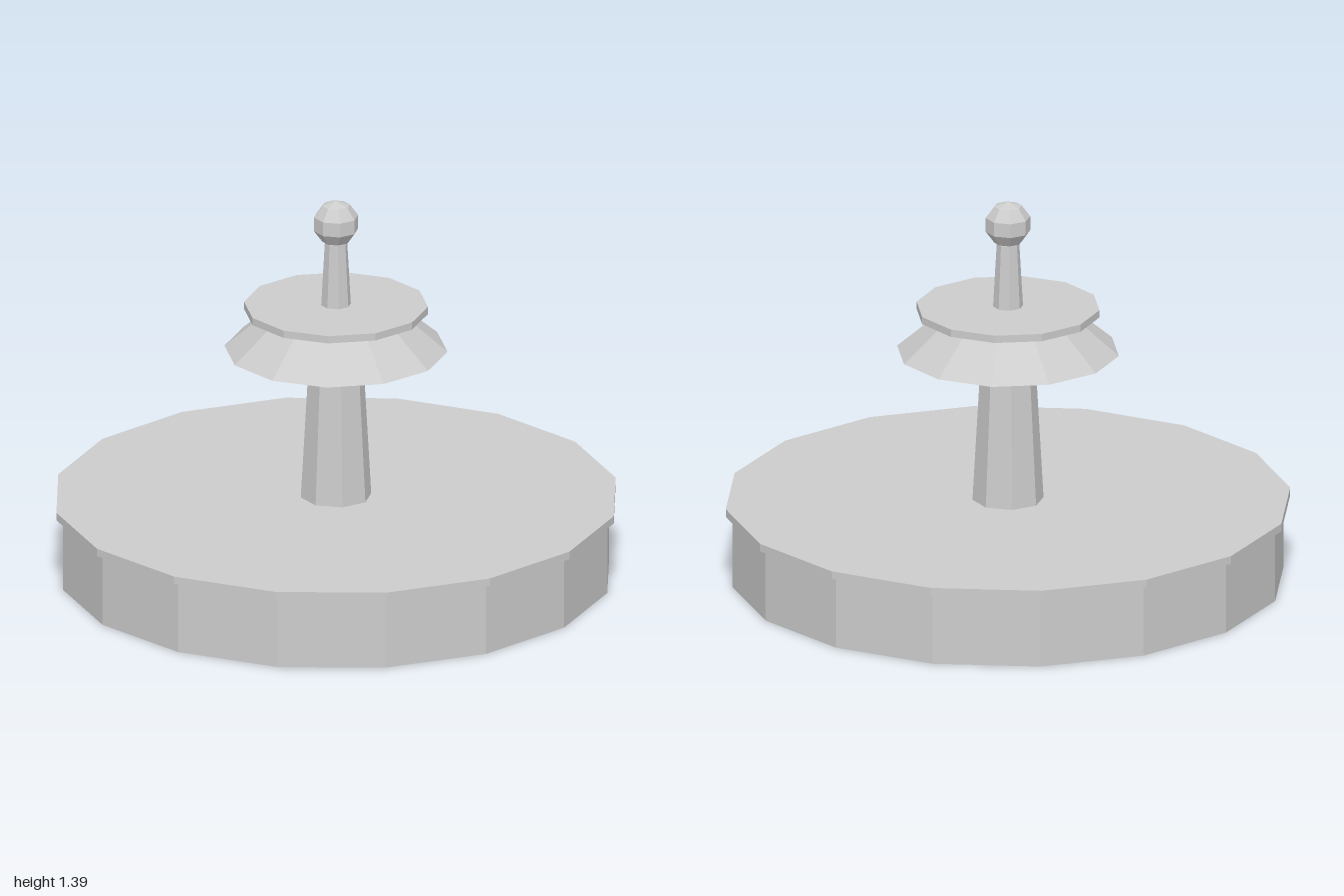
import * as THREE from 'three';

export function createModel() {
  const group = new THREE.Group();
  group.name = 'fountain';
  const stone = new THREE.MeshStandardMaterial({ color: 0xcccccc, flatShading: true });
  stone.name = 'grey stone';

  const add = (name, geometry, y) => {
    const mesh = new THREE.Mesh(geometry, stone);
    mesh.name = name;
    mesh.position.y = y;
    group.add(mesh);
  };

  // Faceted tapered drum from y0 to y1
  const drum = (name, rBottom, rTop, y0, y1, sides) =>
    add(name, new THREE.CylinderGeometry(rTop, rBottom, y1 - y0, sides), (y0 + y1) / 2);

  // Lower basin with overhanging rim
  drum('basin', 0.977, 0.977, 0, 0.262, 16);
  drum('basinRim', 1, 1, 0.262, 0.29, 16);

  // Column carrying the upper tier
  drum('column', 0.126, 0.095, 0.29, 0.84, 8);
  drum('upperSkirt', 0.394, 0.23, 0.84, 0.98, 12);
  drum('upperRim', 0.325, 0.325, 0.98, 1.007, 12);

  // Slim spire topped by a ball
  drum('spire', 0.053, 0.04, 1.007, 1.24, 8);
  add('finial', new THREE.SphereGeometry(0.083, 8, 5), 1.312);

  return group;
}
